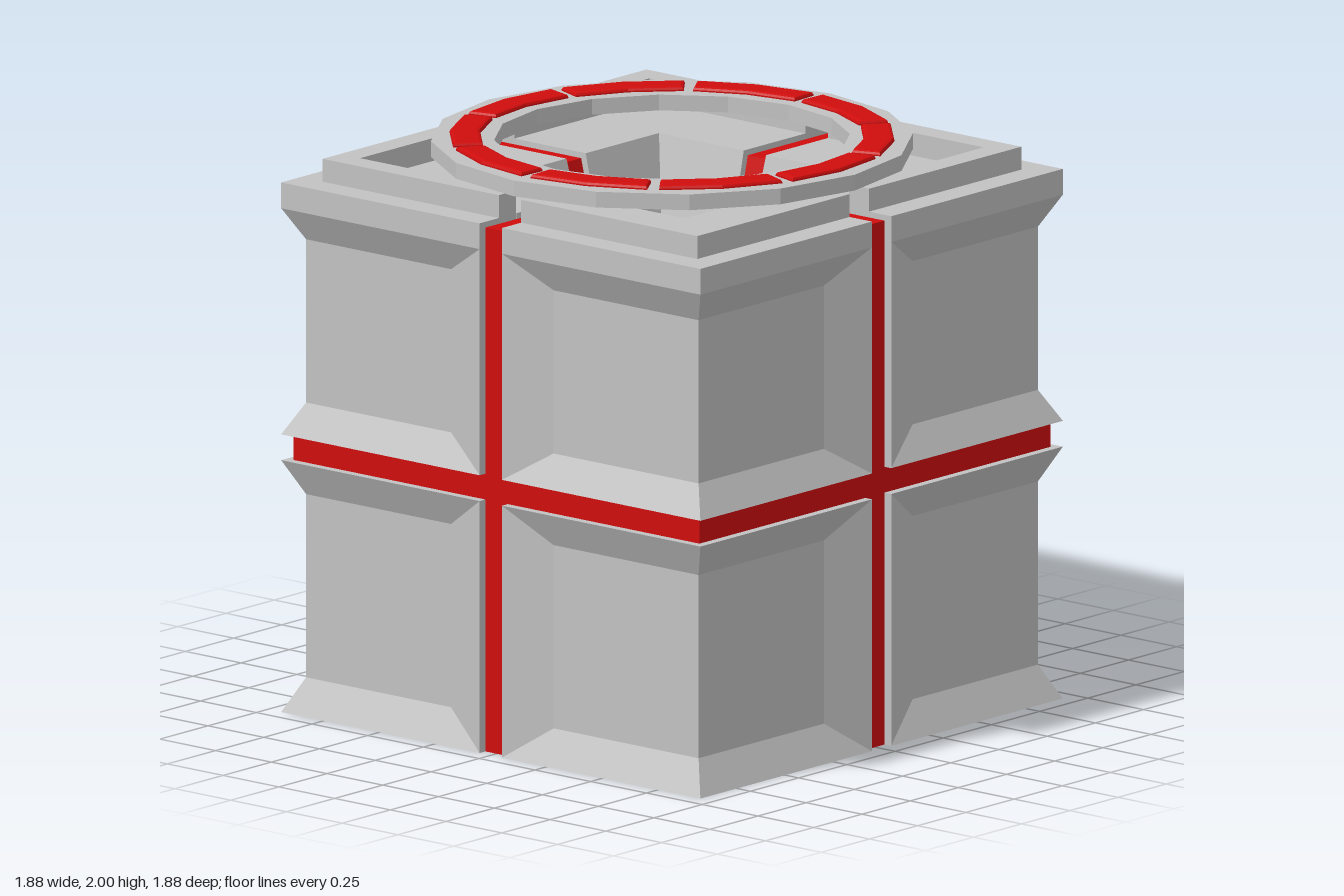
import * as THREE from 'three';

const grey = new THREE.MeshStandardMaterial({ color: 0xc2c2c2 });
grey.name = 'light grey';
const red = new THREE.MeshStandardMaterial({ color: 0xd00d0d });
red.name = 'red';

const H = 0.94;   // outer half width
const G = 0.05;   // half width of the grooves
const WALL = 0.75; // inner half width of the shell

function add(parent, name, geometry, material) {
  const mesh = new THREE.Mesh(geometry, material);
  mesh.name = name;
  parent.add(mesh);
  return mesh;
}

function box(x0, x1, y0, y1, z0, z1) {
  return new THREE.BoxGeometry(x1 - x0, y1 - y0, z1 - z0)
    .translate((x0 + x1) / 2, (y0 + y1) / 2, (z0 + z1) / 2);
}

function flat(geometry) {
  const g = geometry.toNonIndexed();
  g.computeVertexNormals();
  return g;
}

// Solid through L-shaped sections [y, points]; point 0 is the inner corner, from which the caps fan out
function loft(levels) {
  const n = levels[0][1].length;
  const pos = [], idx = [];
  for (const [y, pts] of levels) for (const [x, z] of pts) pos.push(x, y, z);
  for (let k = 0; k < levels.length - 1; k++) {
    for (let i = 0; i < n; i++) {
      const a = k * n + i, b = k * n + (i + 1) % n;
      idx.push(a, b, b + n, a, b + n, a + n);
    }
  }
  const top = (levels.length - 1) * n;
  for (let i = 1; i < n - 1; i++) {
    idx.push(0, i + 1, i, top, top + i, top + i + 1);
  }
  const g = new THREE.BufferGeometry();
  g.setAttribute('position', new THREE.Float32BufferAttribute(pos, 3));
  g.setIndex(idx);
  return flat(g);
}

// Plain L section between inner half width r and outer half width h
const ell = (r, h, g = G) => [[r, r], [g, r], [g, h], [h, h], [h, g], [r, g]];

// Shell section: flush at the flares, sunk into a panel between them
function shell(flare) {
  const d = flare ? H : 0.88;
  const p = flare ? [G, H] : [0.23, d];
  return [[WALL, WALL], [G, WALL], [G, H], p, [d, d], [p[1], p[0]], [H, G], [WALL, G]];
}

export function createModel() {
  const model = new THREE.Group();
  model.name = 'crate';

  const lower = loft([[0, 1], [0.12, 0], [0.76, 0], [0.88, 1]].map(([y, f]) => [y, shell(f)]));
  const upper = loft([[0.97, 1], [1.08, 0], [1.65, 0], [1.76, 1], [1.85, 1]].map(([y, f]) => [y, shell(f)]));
  const rim = loft([[1.85, ell(WALL, 0.84)], [1.93, ell(WALL, 0.84)]]);
  const funnel = loft([[0.97, ell(0.2, WALL, 0.02)], [1.85, ell(0.43, WALL)]]);

  // Sloped red strip showing through the funnel gap
  const strip = new THREE.BufferGeometry();
  strip.setAttribute('position', new THREE.Float32BufferAttribute([
    -0.05, 1.83, -0.45, -0.025, 0.97, -0.215, 0.025, 0.97, -0.215, 0.05, 1.83, -0.45], 3));
  strip.setIndex([0, 1, 2, 0, 2, 3]);

  const sideBand = box(-G, G, 0, 1.83, 0.885, 0.91);
  const liner = box(-G, G, 0, 0.87, 0.875, 0.885);
  const topBand = box(-0.049, 0.049, 1.75, 1.83, 0.45, 0.905);

  // Four corners and four sides
  for (let i = 0; i < 4; i++) {
    const quarter = new THREE.Group();
    quarter.name = 'quarter' + (i + 1);
    quarter.rotation.y = i * Math.PI / 2;
    add(quarter, 'lowerCorner', lower, grey);
    add(quarter, 'upperCorner', upper, grey);
    add(quarter, 'topRim', rim, grey);
    add(quarter, 'funnelCorner', funnel, grey);
    add(quarter, 'sideBand', sideBand, red);
    add(quarter, 'bandLiner', liner, grey);
    add(quarter, 'topBand', topBand, red);
    add(quarter, 'funnelStrip', flat(strip), red);
    model.add(quarter);
  }

  // Red waist slab, also the funnel floor, with the grey ceiling of the lower cavity
  add(model, 'waistBand', box(-0.91, 0.91, 0.88, 0.97, -0.91, 0.91), red);
  add(model, 'cavityCeiling', box(-0.875, 0.875, 0.865, 0.88, -0.875, 0.875), grey);

  // Sixteen-sided ring on top
  const profile = [[0.605, 1.93], [0.82, 1.93], [0.82, 1.985], [0.605, 1.985], [0.605, 1.93]];
  add(model, 'topRing', flat(new THREE.LatheGeometry(
    profile.map(([x, y]) => new THREE.Vector2(x, y)), 16)), grey);

  // Ten bevelled red inlays around the ring
  const half = 0.272, bevel = 0.012;
  const polar = (r, a) => new THREE.Vector2(r * Math.cos(a), r * Math.sin(a));
  const inlayShape = new THREE.Shape([
    ...[-half, 0, half].map(a => polar(0.745, a)),
    ...[half, 0, -half].map(a => polar(0.665, a))]);
  const inlay = new THREE.ExtrudeGeometry(inlayShape, {
    depth: 0.01, bevelThickness: 0.01, bevelSize: bevel, bevelSegments: 2 })
    .rotateX(-Math.PI / 2).translate(0, 1.98, 0);
  for (let i = 0; i < 10; i++) {
    add(model, 'ringInlay', inlay, red).rotation.y = i * Math.PI / 5;
  }
  return model;
}
